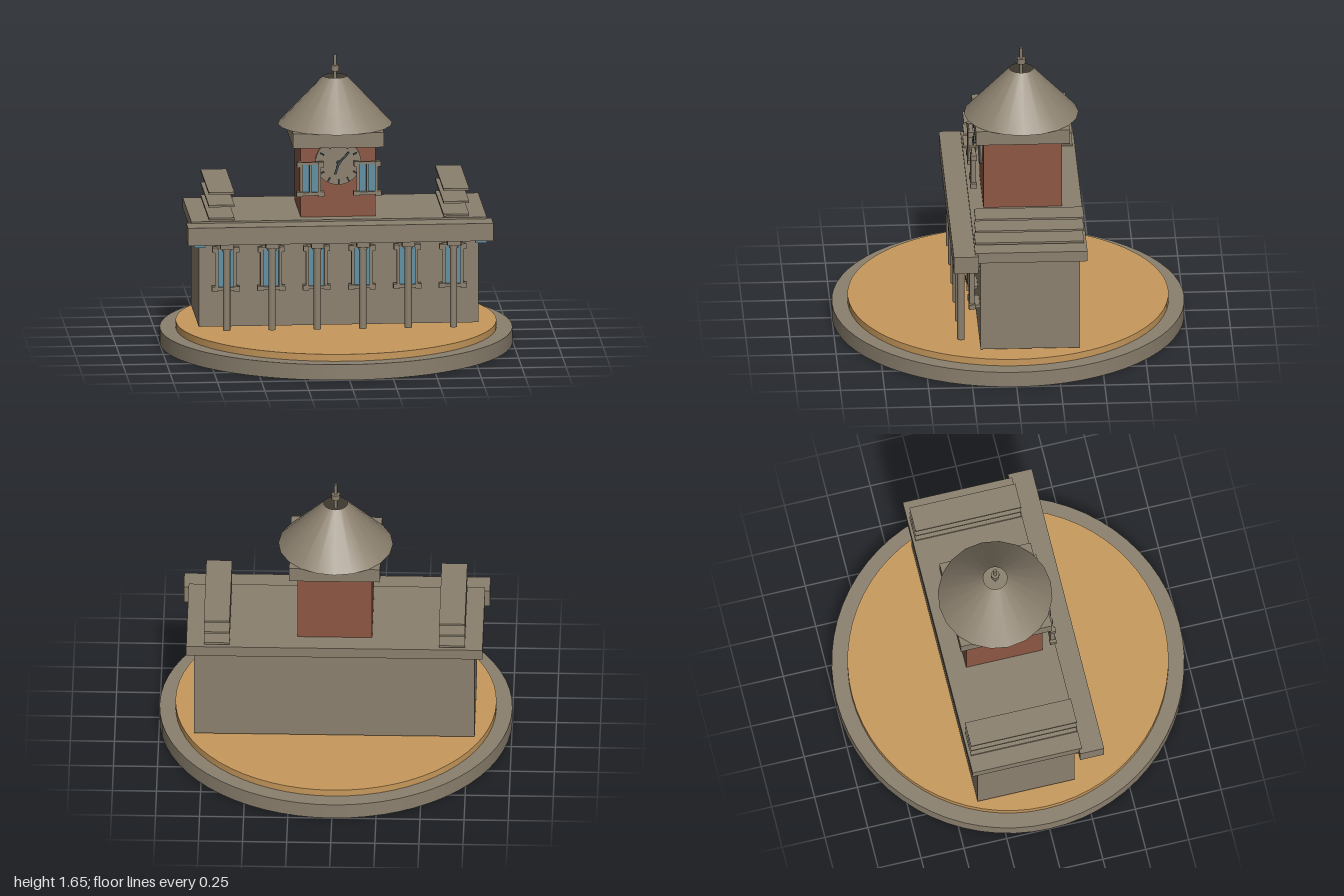
import * as THREE from 'three';

export function createModel() {
  const root = new THREE.Group();
  const mat = (name, color, side = THREE.FrontSide) => {
    const m = new THREE.MeshStandardMaterial({ color, side });
    m.name = name;
    return m;
  };
  const stone = mat('stone', 0x8b806e, THREE.DoubleSide);
  const sand = mat('sand', 0xc8995c);
  const brick = mat('brick', 0x8c5643);
  const glass = mat('glass', 0x5f8fa3);
  const iron = mat('iron', 0x3f4d50);

  const add = (name, geo, material, x, y, z, parent = root) => {
    const m = new THREE.Mesh(geo, material);
    m.name = name;
    m.position.set(x, y, z);
    parent.add(m);
    return m;
  };
  // Box given by its limits on each axis
  const box = (name, material, [x0, x1], [y0, y1], [z0, z1], parent = root) =>
    add(name, new THREE.BoxGeometry(x1 - x0, y1 - y0, z1 - z0), material,
      (x0 + x1) / 2, (y0 + y1) / 2, (z0 + z1) / 2, parent);
  // Upright cylinder from y0 to y1
  const cyl = (name, material, r, y0, y1, x, z, seg = 16, parent = root) =>
    add(name, new THREE.CylinderGeometry(r, r, y1 - y0, seg), material, x, (y0 + y1) / 2, z, parent);

  // Round base
  cyl('basePlinth', stone, 1, 0, 0.09, 0, 0, 64);
  cyl('sandDisc', sand, 0.91, 0.09, 0.13, 0, 0, 64);

  // Main hall, roof slab and front cornice
  box('hall', stone, [-0.795, 0.795], [0.145, 0.70], [-0.37, 0.195]);
  box('roofSlab', stone, [-0.84, 0.84], [0.70, 0.762], [-0.41, 0.228]);
  box('frontCornice', stone, [-0.868, 0.868], [0.65, 0.752], [0.21, 0.35]);

  // Framed window with two panes, standing on y0, back plane at z = 0
  function windowUnit(name, x, y0, y1, z, back) {
    const g = new THREE.Group();
    g.name = name;
    g.position.set(x, 0, z);
    root.add(g);
    box('pane', glass, [-0.045, 0.045], [y0 + 0.02, y1 - 0.015], [0.005, 0.014], g);
    for (const s of [-1, 0, 1]) {
      const w = s ? 0.009 : 0.006;
      box('windowPost', stone, [s * 0.052 - w, s * 0.052 + w], [y0 + 0.02, y1 - 0.01], [0, 0.028], g);
    }
    for (const s of [-1, 1]) {
      box('postCap', stone, [s * 0.062 - 0.014, s * 0.062 + 0.014], [y1 - 0.03, y1], [-0.005, 0.03], g);
      box('postFoot', stone, [s * 0.062 - 0.017, s * 0.062 + 0.017], [y0, y0 + 0.028], [-0.005, 0.033], g);
    }
    box('lintel', stone, [-0.06, 0.06], [y1 - 0.016, y1 - 0.003], [-back, 0.022], g);
    box('sill', stone, [-0.07, 0.07], [y0 + 0.006, y0 + 0.024], [-back, 0.03], g);
  }

  // Row of windows, each with a column in front
  for (let i = 0; i < 6; i++) {
    const x = (i - 2.5) * 0.258;
    windowUnit('hallWindow', x, 0.36, 0.615, 0.225, 0.03);
    cyl('column', stone, 0.021, 0.145, 0.61, x, 0.3);
    cyl('columnNeck', stone, 0.027, 0.605, 0.622, x, 0.3);
    box('columnCapital', stone, [x - 0.036, x + 0.036], [0.62, 0.65], [0.265, 0.335]);
  }

  // Blue blocks under the cornice ends and stacked roof slats
  for (const s of [-1, 1]) {
    box('corniceBlock', glass, [s * 0.8 - 0.032, s * 0.8 + 0.032], [0.636, 0.65], [0.235, 0.34]);
    for (const y of [0.775, 0.849, 0.923]) {
      box('roofSlat', stone, [s * 0.667 - 0.073, s * 0.667 + 0.073], [y - 0.006, y + 0.006], [-0.395, 0.222]);
    }
    windowUnit('towerWindow', s * 0.162, 0.895, 1.095, 0.193, 0);
  }

  // Clock tower
  const tz = -0.075;
  box('tower', brick, [-0.212, 0.212], [0.76, 1.17], [-0.295, 0.15]);
  box('towerCap', stone, [-0.258, 0.258], [1.17, 1.255], [-0.338, 0.195]);
  add('coneRoof', new THREE.CylinderGeometry(0.068, 0.325, 0.275, 20, 1, true), stone, 0, 1.3925, tz);
  cyl('finialRod', stone, 0.009, 1.5, 1.655, 0, tz, 12);
  cyl('finialCollar', stone, 0.024, 1.56, 1.592, 0, tz, 12);

  // Clock face, hour marks and hands
  const cy = 1.08;
  add('clockFace', new THREE.CylinderGeometry(0.13, 0.13, 0.018, 32), stone, 0, cy, 0.157)
    .rotation.x = Math.PI / 2;
  for (let i = 0; i < 12; i++) {
    const a = i * Math.PI / 6;
    add('hourMark', new THREE.BoxGeometry(0.008, 0.024, 0.008), iron,
      Math.sin(a) * 0.108, cy + Math.cos(a) * 0.108, 0.19).rotation.z = -a;
  }
  const hand = (name, x, y, w) => {
    const len = Math.hypot(x, y);
    add(name, new THREE.BoxGeometry(w, len, 0.008), iron, x / 2, cy + y / 2, 0.198)
      .rotation.z = -Math.atan2(x, y);
  };
  hand('minuteHand', 0.058, 0.064, 0.011);
  hand('hourHand', -0.02, -0.062, 0.012);
  add('clockHub', new THREE.CylinderGeometry(0.01, 0.01, 0.04, 12), iron, 0, cy, 0.184)
    .rotation.x = Math.PI / 2;

  return root;
}
